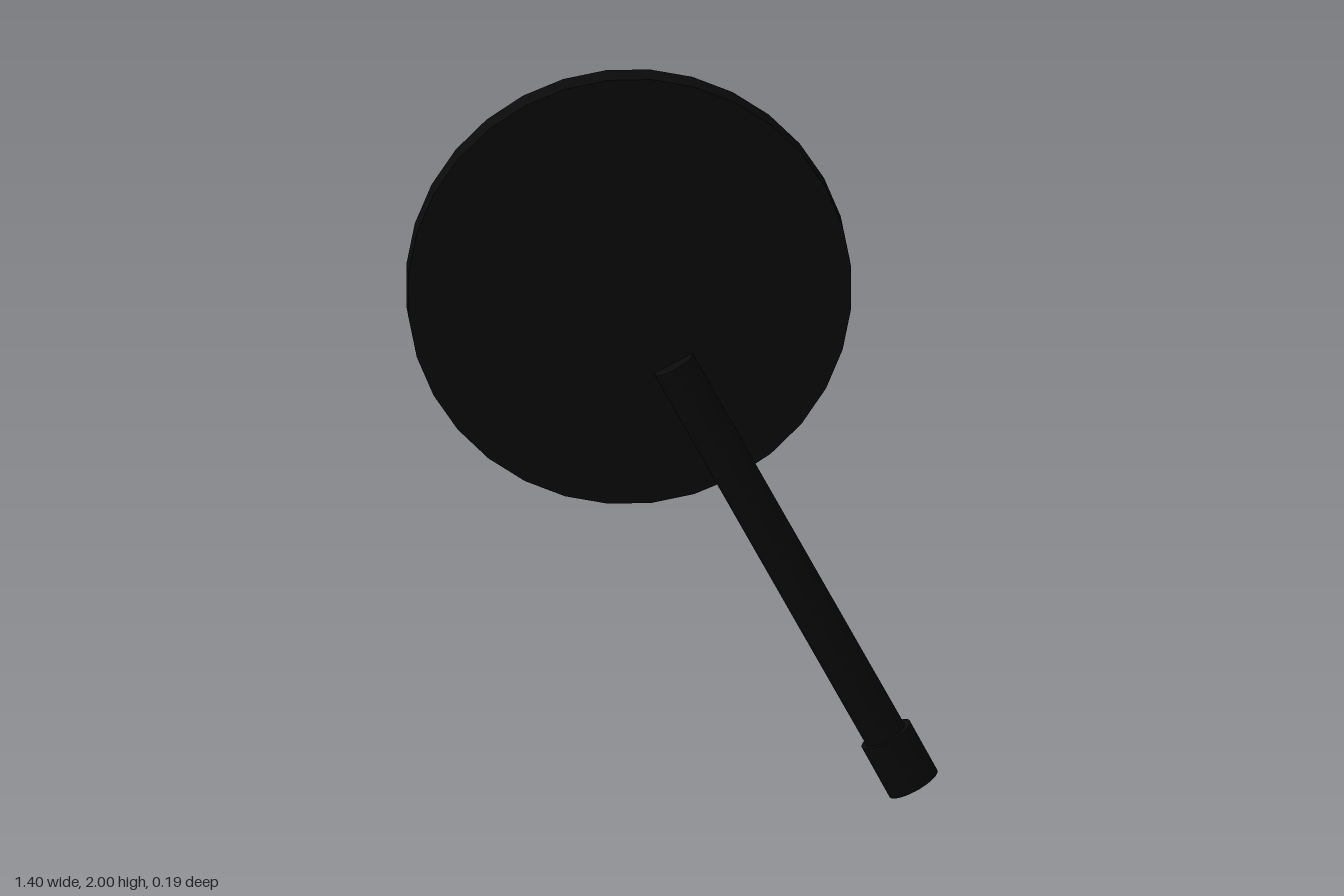
import * as THREE from 'three';
import { toCreasedNormals } from 'three/addons/utils/BufferGeometryUtils.js';

const SIDES = 32;
const black = new THREE.MeshStandardMaterial({ color: 0x0a0a0a });
const grey = new THREE.MeshStandardMaterial({ color: 0xcccccc });

// Turned part whose axis points to the back (-z); profile is [radius, distance back]
function turned(name, profile, material) {
  const points = profile.map(([r, d]) => new THREE.Vector2(r, d));
  const lathe = new THREE.LatheGeometry(points, SIDES, Math.PI / SIDES).rotateX(-Math.PI / 2);
  const mesh = new THREE.Mesh(toCreasedNormals(lathe, 0.6), material);
  mesh.name = name;
  return mesh;
}

// Round bar between two points
function bar(name, from, to, radius) {
  const axis = to.clone().sub(from);
  const mesh = new THREE.Mesh(new THREE.CylinderGeometry(radius, radius, axis.length(), SIDES), black);
  mesh.position.copy(from).add(to).multiplyScalar(0.5);
  mesh.quaternion.setFromUnitVectors(new THREE.Vector3(0, 1, 0), axis.normalize());
  mesh.name = name;
  return mesh;
}

export function createModel() {
  const group = new THREE.Group();
  group.name = 'mirror';

  // Round housing with a shallow recess, and the slightly conical glass in it
  const head = new THREE.Group();
  head.name = 'mirrorHead';
  head.position.set(-0.115, 1.413, 0);
  head.add(
    turned('housing', [[0, -0.022], [0.59, -0.022], [0.59, 0.068], [0.52, 0.068], [0.52, 0.045]], black),
    turned('glass', [[0.52, 0.045], [0, 0.097]], grey)
  );
  group.add(head);

  // Slanted stem fixed to the front of the housing, with a thicker foot
  const top = new THREE.Vector3(0, 1.212, 0.025);
  const footTop = new THREE.Vector3(0.564, 0.174, 0.025);
  const bottom = new THREE.Vector3(0.637, 0.036, 0.025);
  group.add(bar('stem', bottom, top, 0.058), bar('foot', bottom, footTop, 0.073));

  return group;
}
